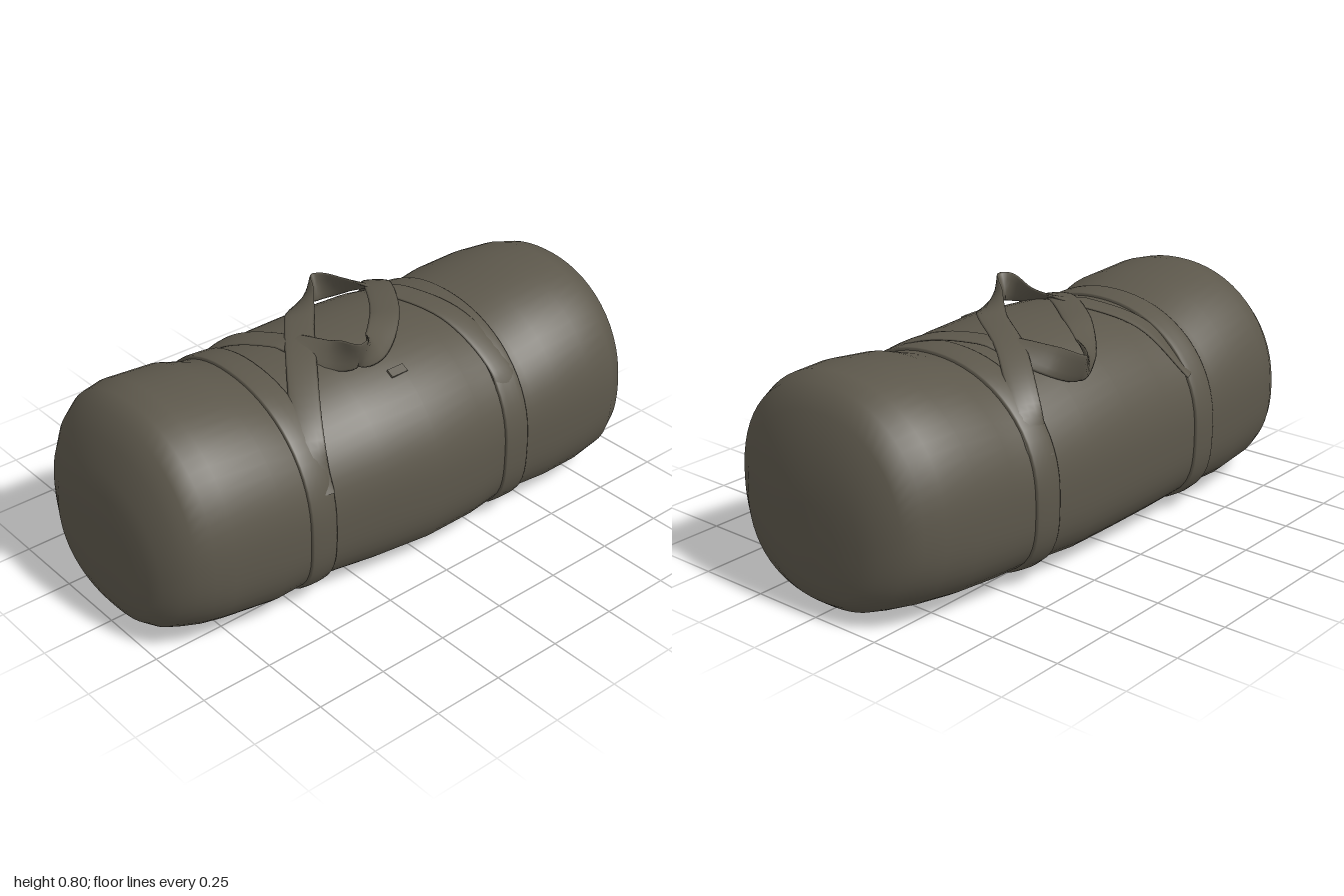
import * as THREE from 'three';

const canvas = new THREE.MeshStandardMaterial({ color: 0x5c574b, side: THREE.DoubleSide });
canvas.name = 'olive canvas';

// Body stations along x: [x, top, bottom, back z, front z]
const STATIONS = [
  [-1, 0.40, 0.13, -0.12, 0.16], [-0.99, 0.48, 0.07, -0.22, 0.22], [-0.975, 0.55, 0.04, -0.31, 0.27],
  [-0.94, 0.64, 0.018, -0.385, 0.325], [-0.9, 0.71, 0.01, -0.42, 0.355], [-0.85, 0.748, 0.008, -0.445, 0.38],
  [-0.78, 0.757, 0.008, -0.46, 0.39], [-0.6, 0.742, 0.01, -0.465, 0.408], [-0.5, 0.708, 0.012, -0.456, 0.4],
  [-0.4, 0.698, 0.012, -0.453, 0.398], [-0.2, 0.725, 0.004, -0.457, 0.435], [0, 0.733, 0, -0.457, 0.46],
  [0.2, 0.725, 0, -0.453, 0.455], [0.35, 0.702, 0.01, -0.435, 0.437], [0.45, 0.698, 0.012, -0.425, 0.445],
  [0.55, 0.728, 0.01, -0.42, 0.458], [0.7, 0.744, 0.01, -0.405, 0.462], [0.82, 0.74, 0.008, -0.385, 0.455],
  [0.89, 0.722, 0.01, -0.36, 0.42], [0.94, 0.65, 0.018, -0.32, 0.35], [0.975, 0.54, 0.045, -0.25, 0.25],
  [0.99, 0.46, 0.07, -0.19, 0.18], [1, 0.38, 0.12, -0.1, 0.1],
];
const SIDES = 64;
const ROUND = 2.15; // curve of the upper half

// Cross-section at any x; the underside sags flatter in the middle than at the ends
function section(x) {
  let i = 0;
  while (i < STATIONS.length - 2 && STATIONS[i + 1][0] < x) i++;
  const a = STATIONS[i], b = STATIONS[i + 1];
  const k = THREE.MathUtils.clamp((x - a[0]) / (b[0] - a[0]), 0, 1);
  const [, top, bottom, back, front] = a.map((v, j) => v + (b[j] - v) * k);
  const mid = bottom + 0.44 * (top - bottom);
  const sag = 3.3 - 1.0 * THREE.MathUtils.smoothstep(Math.abs(x), 0.6, 1);
  return { top, bottom, mid, sag, zc: (front + back) / 2, half: (front - back) / 2 };
}

// Point on the body skin at angle t, pushed out by lift
function skin(x, t, lift = 0) {
  const s = section(x), c = Math.cos(t), n = Math.sin(t);
  const e = n > 0 ? ROUND : s.sag;
  const r = Math.pow(Math.abs(c) ** e + Math.abs(n) ** e, -1 / e);
  const height = n > 0 ? s.top - s.mid : s.mid - s.bottom;
  return new THREE.Vector3(x, Math.max(0, s.mid + n * (r * height + lift)), s.zc + c * (r * s.half + lift));
}

// Height of the upper skin above (x, z)
function topY(x, z) {
  const s = section(x), k = Math.min(1, Math.abs((z - s.zc) / s.half));
  return s.mid + (s.top - s.mid) * Math.pow(1 - k ** ROUND, 1 / ROUND);
}

// Smooth skin over rows of points; each row is a closed loop
function loft(rows) {
  const m = rows[0].length, index = [];
  for (let i = 0; i < rows.length - 1; i++) {
    for (let j = 0; j < m; j++) {
      const k = (j + 1) % m, a = i * m, b = a + m;
      index.push(a + j, b + j, b + k, a + j, b + k, a + k);
    }
  }
  const geo = new THREE.BufferGeometry().setFromPoints(rows.flat());
  geo.setIndex(index);
  geo.computeVertexNormals();
  return geo;
}

const loop = (n, fn) => Array.from({ length: n }, (_, j) => fn((j / n) * Math.PI * 2));

function part(group, name, geo) {
  const mesh = new THREE.Mesh(geo, canvas);
  mesh.name = name;
  group.add(mesh);
  return mesh;
}

// Padded band with steep edges wrapped round the whole bag: [across, lift]
const BAND_PROFILE = [[-1, -0.004], [-1, 0.007], [-0.9, 0.01], [-0.5, 0.013], [0, 0.014],
  [0.5, 0.013], [0.9, 0.01], [1, 0.007], [1, -0.004]];

function bandGeometry(xFront, xBack) {
  return loft(BAND_PROFILE.map(([v, lift]) => loop(SIDES, (t) => {
    const x = THREE.MathUtils.lerp(xBack, xFront, (Math.cos(t) + 1) / 2);
    return skin(x + v * 0.05, t, lift);
  })));
}

// Loose carrying strap through [x, z, lift above skin, twist in degrees]
function handleGeometry(points) {
  const curve = new THREE.CatmullRomCurve3(
    points.map(([x, z, lift]) => new THREE.Vector3(x, topY(x, z) + lift, z)));
  const up = new THREE.Vector3(0, 1, 0), rows = [], steps = 72;
  for (let i = 0; i <= steps; i++) {
    const u = i / steps, f = u * (points.length - 1);
    const a = Math.min(Math.floor(f), points.length - 2);
    const twist = THREE.MathUtils.degToRad(THREE.MathUtils.lerp(points[a][3], points[a + 1][3], f - a));
    const p = curve.getPoint(u), dir = curve.getTangent(u);
    const flat = dir.clone().cross(up).normalize();
    const rise = flat.clone().cross(dir);
    const wide = flat.clone().multiplyScalar(Math.cos(twist)).addScaledVector(rise, Math.sin(twist));
    const thick = wide.clone().cross(dir);
    rows.push(loop(12, (t) => p.clone()
      .addScaledVector(wide, 0.05 * Math.cos(t))
      .addScaledVector(thick, 0.007 * Math.sin(t))));
  }
  return loft(rows);
}

export function createModel() {
  const bag = new THREE.Group();
  bag.name = 'duffelBag';

  // Body with closed, domed ends
  const rows = STATIONS.map(([x]) => loop(SIDES, (t) => skin(x, t)));
  const cap = (x) => {
    const s = section(x);
    return loop(SIDES, () => new THREE.Vector3(x, s.mid, s.zc));
  };
  part(bag, 'body', loft([cap(-1), ...rows, cap(1)]));

  // Bands sewn round the body
  part(bag, 'rightBand', bandGeometry(-0.445, -0.41));
  part(bag, 'leftBand', bandGeometry(0.36, 0.405));

  // Front handle flopped backwards, back handle flopped forwards
  part(bag, 'frontHandle', handleGeometry([
    [-0.445, 0.385, 0.01, 0], [-0.42, 0.3, 0.017, 0], [-0.27, 0.08, 0.012, 0], [-0.1, -0.14, 0.01, 0],
    [0.04, -0.29, 0.035, 45], [0.15, -0.365, 0.085, 110], [0.215, -0.28, 0.04, 55], [0.27, -0.08, 0.015, 0],
    [0.33, 0.15, 0.015, 0], [0.36, 0.35, 0.017, 0], [0.36, 0.42, 0.01, 0],
  ]));
  part(bag, 'backHandle', handleGeometry([
    [0.41, -0.41, 0.01, 0], [0.39, -0.33, 0.022, 0], [0.27, -0.17, 0.025, 0], [0.11, 0.05, 0.02, 0],
    [-0.04, 0.175, 0.03, 45], [-0.14, 0.212, 0.07, 110], [-0.19, 0.12, 0.02, 45], [-0.24, -0.05, 0.008, 0],
    [-0.32, -0.25, 0.01, 0], [-0.39, -0.41, 0.01, 0],
  ]));

  // Small fabric tab on the front
  const tab = part(bag, 'frontTab', new THREE.BoxGeometry(0.065, 0.008, 0.03));
  tab.position.set(-0.02, topY(-0.02, 0.26) + 0.001, 0.26);
  tab.rotation.x = 0.5;
  return bag;
}
